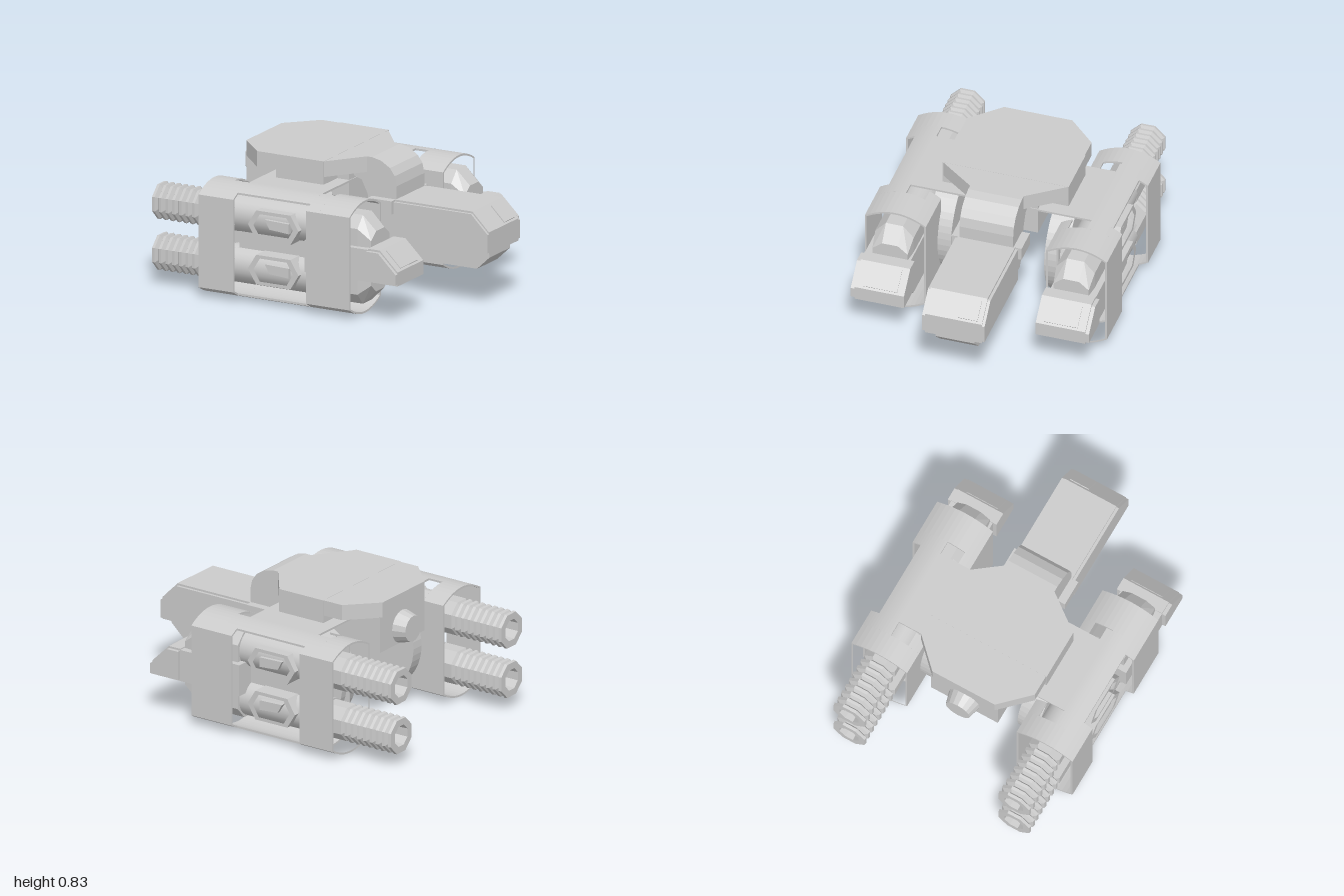
import * as THREE from 'three';
import { ConvexGeometry } from 'three/addons/geometries/ConvexGeometry.js';

const mat = new THREE.MeshStandardMaterial({ color: 0xcccccc, flatShading: true });
const smooth = new THREE.MeshStandardMaterial({ color: 0xcccccc, side: THREE.DoubleSide });

function add(group, name, geo, material = mat) {
  const mesh = new THREE.Mesh(geo, material);
  mesh.name = name;
  group.add(mesh);
  return mesh;
}
const toShape = (pts) => new THREE.Shape(pts.map(([a, b]) => new THREE.Vector2(a, b)));

// Outline given as [z, y], extruded along x
function alongX(pts, x0, x1, hole) {
  const flip = (list) => list.map(([z, y]) => [-z, y]);
  const shape = toShape(flip(pts));
  if (hole) shape.holes.push(toShape(flip(hole)));
  return new THREE.ExtrudeGeometry(shape, { depth: x1 - x0, bevelEnabled: false })
    .rotateY(Math.PI / 2).translate(x0, 0, 0);
}
// Outline given as [x, y], extruded along z
function alongZ(pts, za, zb, hole) {
  const shape = toShape(pts);
  if (hole) shape.holes.push(toShape(hole));
  return new THREE.ExtrudeGeometry(shape, { depth: Math.abs(zb - za), bevelEnabled: false })
    .translate(0, 0, Math.min(za, zb));
}
function box(x0, x1, y0, y1, z0, z1) {
  return new THREE.BoxGeometry(x1 - x0, y1 - y0, Math.abs(z1 - z0))
    .translate((x0 + x1) / 2, (y0 + y1) / 2, (z0 + z1) / 2);
}

// Curved top (or bottom) edge of the pod casing between two z positions
const MID = 0.557, HALF = 0.188, T = 0.012;
function arc(z0, z1, top, inset = 0) {
  return Array.from({ length: 13 }, (_, i) => {
    const z = z0 + (z1 - z0) * i / 12;
    const rise = 0.342 - inset - 0.06 * ((z - MID) / HALF) ** 2;
    return [z, 0.342 + (top ? rise : -rise)];
  });
}
const strip = (z0, z1, top) => [...arc(z0, z1, top), ...arc(z1, z0, top, T)];
const loop = (half, inset) => [
  ...arc(MID - half, MID + half, true, inset), ...arc(MID + half, MID - half, false, inset)];

function casing(s) {
  const g = new THREE.Group();
  g.name = 'podCasing';
  const side = (pts) => pts.map(([z, y]) => [z * s, y]);
  const band = (x0, x1) => add(g, 'casingBand',
    alongX(side(loop(HALF, 0)), x0, x1, side(loop(HALF - T, T))));
  // Band portion with a slot in its top
  const slotted = (x0, x1) => {
    const profile = [
      ...arc(MID, MID + HALF, true), ...arc(MID + HALF, MID - HALF, false), ...arc(MID - HALF, 0.44, true),
      ...arc(0.44, MID - HALF + T, true, T), ...arc(MID - HALF + T, MID + HALF - T, false, T),
      ...arc(MID + HALF - T, MID, true, T)];
    add(g, 'slottedBand', alongX(side(profile), x0, x1));
  };
  band(-0.64, -0.5);
  slotted(-0.5, -0.405);
  slotted(0.085, 0.17);
  band(0.17, 0.375);
  // Strips joining the bands; the top one reaches in to the hull
  add(g, 'topBridge', alongX(side([
    [0, 0.684], ...arc(MID, 0.69, true), ...arc(0.69, MID, true, T), [0, 0.684 - T]]), -0.405, 0.085));
  add(g, 'bottomStrip', alongX(side(strip(0.44, 0.69, false)), -0.405, 0.085));
  return g;
}

// Corrugated eight-sided tube along x with a bored end
function barrel(y, z) {
  const pts = [[0, 0.1], [0.062, 0.1], [0.068, 0]];
  const n = 8, pitch = 0.36 / n;
  for (let i = 0; i < n; i++) {
    pts.push([0.112, i * pitch], [0.115, (i + 0.4) * pitch], [0.088, (i + 0.7) * pitch]);
  }
  pts.push([0.112, 0.36], [0.112, 0.55], [0, 0.55]);
  return new THREE.LatheGeometry(pts.map(([r, h]) => new THREE.Vector2(r, h)), 8, Math.PI / 8)
    .rotateZ(-Math.PI / 2).translate(-1, y, z);
}

function pod(s) {
  const g = new THREE.Group();
  g.name = s > 0 ? 'frontPod' : 'rearPod';
  g.add(casing(s));

  // Flat drum on the inner side
  add(g, 'innerDrum', new THREE.CylinderGeometry(0.32, 0.32, 0.14, 48)
    .rotateX(Math.PI / 2).translate(-0.165, 0.34, 0.357 * s));

  // Twin cores with barrels and six-sided side vents
  for (const [y, d] of [[0.495, 1], [0.185, -1]]) {
    add(g, 'barrel', barrel(y, 0.555 * s));
    add(g, 'core', new THREE.CylinderGeometry(0.115, 0.115, 0.62, 24)
      .rotateZ(Math.PI / 2).translate(-0.19, y, 0.545 * s), smooth);
    const cy = y - 0.02 * d;
    const hex = (k) => [[-0.17, 0], [-0.115, 0.09], [0.115, 0.09], [0.17, 0], [0.115, -0.09], [-0.115, -0.09]]
      .map(([x, v]) => [-0.165 + x * k, cy + v * k]);
    add(g, 'ventFrame', alongZ(hex(1), 0.58 * s, 0.695 * s, hex(0.78)));
    add(g, 'ventBlade', alongZ([[-0.23, cy + 0.035], [-0.07, cy + 0.03], [-0.07, cy - 0.03], [-0.2, cy - 0.02]],
      0.6 * s, 0.68 * s));
  }
  add(g, 'coreSpacer', box(-0.45, 0.1, 0.26, 0.42, 0.46 * s, 0.59 * s));

  // Faceted block closing the pod end
  const section = (x, k, h) => [[0.118, 0.2], [0.053, 0.27], [-0.053, 0.27], [-0.118, 0.2],
    [-0.118, -0.2], [-0.053, -0.27], [0.053, -0.27], [0.118, -0.2]]
    .map(([z, y]) => new THREE.Vector3(x, 0.34 + y * h, (0.557 + z * k) * s));
  add(g, 'endBlock', new ConvexGeometry([...section(0.09, 1, 1), ...section(0.39, 1, 1), ...section(0.477, 0.92, 0.68)]));

  // Nozzle arm and chamfered head
  add(g, 'nozzleArm', box(0.055, 0.49, 0.24, 0.435, 0.43 * s, 0.71 * s));
  const head = (i) => [[0.48, 0.24 + i], [0.48, 0.442 - i], [0.56, 0.442 - i], [0.68, 0.325 - i], [0.68, 0.24 + i]];
  add(g, 'nozzleHead', alongZ(head(0), 0.405 * s, 0.71 * s));
  add(g, 'nozzleCheek', alongZ(head(0.012), 0.7 * s, 0.733 * s));
  add(g, 'nozzlePanel', alongZ([[0.57, 0.425], [0.574, 0.435], [0.672, 0.339], [0.666, 0.33]], 0.45 * s, 0.66 * s));
  return g;
}

function hull() {
  const g = new THREE.Group();
  g.name = 'hull';
  // Eight-sided top plate, outlined in [x, z]
  const half = [[-0.62, 0.21], [-0.45, 0.383], [0, 0.383], [0.165, 0.165]];
  const outline = [...half, ...half.map(([x, z]) => [x, -z]).reverse()];
  add(g, 'topPlate', new THREE.ExtrudeGeometry(toShape(outline), { depth: 0.095, bevelEnabled: false })
    .rotateX(-Math.PI / 2).translate(0, 0.73, 0));
  add(g, 'plateMount', box(-0.32, 0, 0.68, 0.826, -0.388, 0.388));
  add(g, 'body', box(-0.61, 0.08, 0.51, 0.735, -0.225, 0.225));
  add(g, 'tailNozzle', new THREE.CylinderGeometry(0.08, 0.105, 0.09, 16)
    .rotateZ(Math.PI / 2).translate(-0.645, 0.61, 0));

  // Curved neck dropping to the snout
  add(g, 'neck', alongZ([[0.04, 0.825], [0.2, 0.825], [0.26, 0.812], [0.32, 0.775], [0.352, 0.73], [0.365, 0.67],
    [0.365, 0.36], [0.24, 0.36], [0.2, 0.42], [0.17, 0.6], [0.13, 0.68], [0.04, 0.71]], -0.165, 0.165));

  // Chamfered snout with a narrower chin
  const snout = (i) => [[0.355, 0.345 + i], [0.355, 0.592 - i], [0.88, 0.592 - i], [0.992, 0.48 - i], [0.992, 0.345 + i]];
  add(g, 'snout', alongZ(snout(0), -0.175, 0.175));
  add(g, 'snoutCheeks', alongZ(snout(0.012), -0.192, 0.192));
  add(g, 'chin', alongZ([[0.46, 0.36], [0.46, 0.23], [0.88, 0.23], [0.965, 0.31], [0.965, 0.36]], -0.12, 0.12));
  add(g, 'snoutPanel', alongZ([[0.89, 0.575], [0.897, 0.583], [0.985, 0.495], [0.978, 0.485]], -0.145, -0.02));
  for (const s of [1, -1]) add(g, 'sideTab', box(0.2, 0.36, 0.51, 0.59, 0.16 * s, 0.215 * s));
  return g;
}

export function createModel() {
  const model = new THREE.Group();
  model.name = 'model';
  model.add(hull(), pod(1), pod(-1));
  return model;
}
